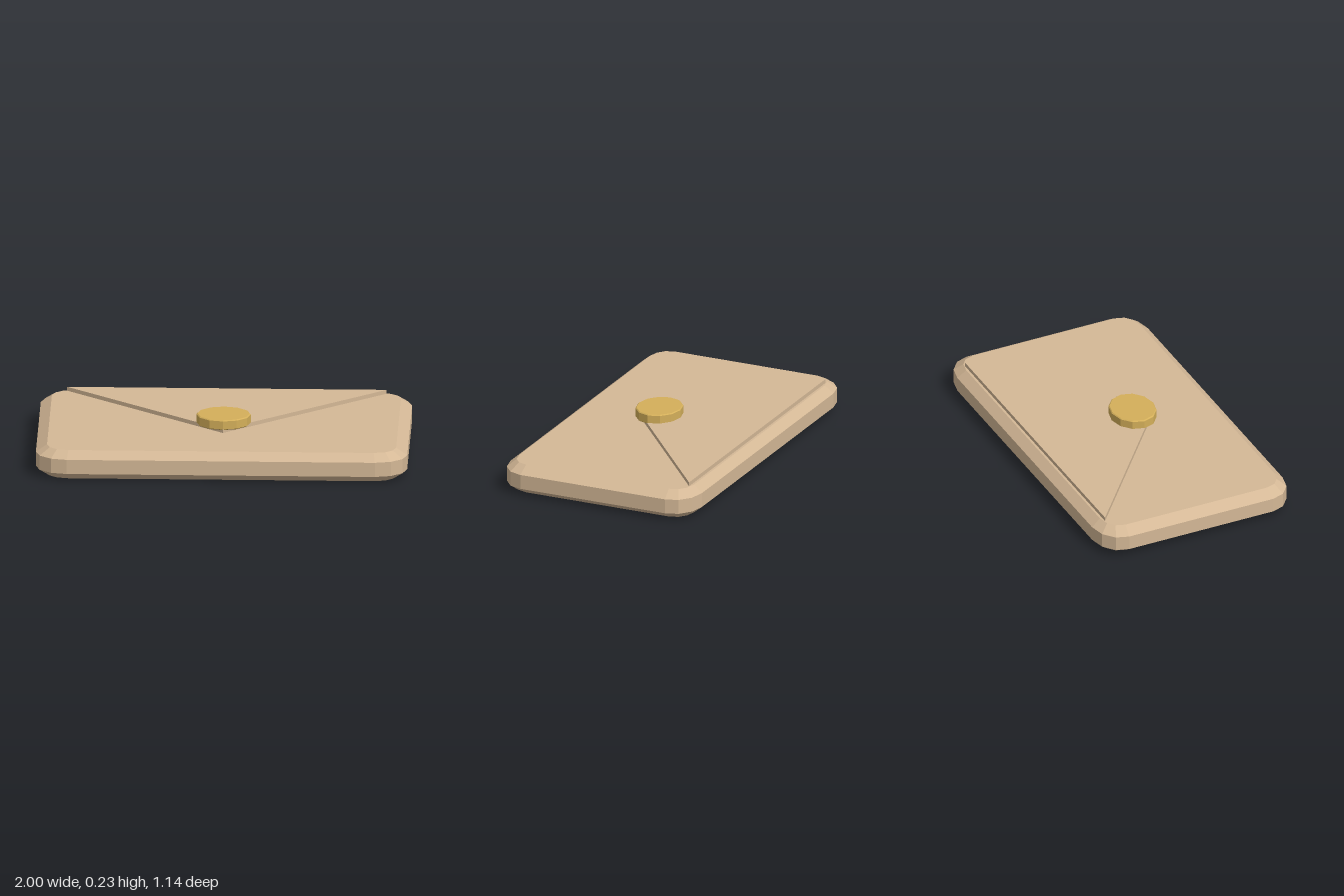
import * as THREE from 'three';

const tan = new THREE.MeshStandardMaterial({ color: 0xd4b896 });
tan.name = 'tan paper';
const gold = new THREE.MeshStandardMaterial({ color: 0xd4af5a });
gold.name = 'gold';

function part(name, geometry, material) {
  const mesh = new THREE.Mesh(geometry, material);
  mesh.name = name;
  return mesh;
}

// Rounded rectangle outline with three facets per corner
function roundedOutline(halfX, halfY, radius) {
  const points = [];
  const corners = [[1, 1], [-1, 1], [-1, -1], [1, -1]];
  corners.forEach(([sx, sy], c) => {
    for (let i = 0; i <= 3; i++) {
      const a = (c + i / 3) * Math.PI / 2;
      points.push(new THREE.Vector2(
        sx * (halfX - radius) + radius * Math.cos(a),
        sy * (halfY - radius) + radius * Math.sin(a)));
    }
  });
  return new THREE.Shape(points);
}

export function createModel() {
  const model = new THREE.Group();
  model.name = 'envelope';

  // Body: chamfered slab, squashed in depth so corners are slightly oval
  const squash = 0.82;
  const body = new THREE.ExtrudeGeometry(roundedOutline(1, 0.57 / squash, 0.17), {
    depth: 0.08, bevelEnabled: true, bevelSegments: 1,
    bevelThickness: 0.04, bevelSize: 0.06, bevelOffset: -0.06,
  });
  body.rotateX(-Math.PI / 2).scale(1, 1, squash).translate(0, 0.04, 0);
  model.add(part('body', body, tan));

  // Triangular flap pointing towards the front
  const triangle = new THREE.Shape([
    new THREE.Vector2(-0.86, 0.508),
    new THREE.Vector2(0, -0.2),
    new THREE.Vector2(0.86, 0.508),
  ]);
  const flap = new THREE.ExtrudeGeometry(triangle, { depth: 0.022, bevelEnabled: false });
  flap.rotateX(-Math.PI / 2).translate(0, 0.16, 0);
  model.add(part('flap', flap, tan));

  // Seal: faceted oval disc with a fine chamfer
  const profile = [[0, 0.175], [0.141, 0.175], [0.147, 0.18], [0.147, 0.225], [0.141, 0.23], [0, 0.23]]
    .map(([r, y]) => new THREE.Vector2(r, y));
  const seal = new THREE.LatheGeometry(profile, 12).toNonIndexed();
  seal.scale(1, 1, 0.85).translate(0, 0, 0.075);
  seal.computeVertexNormals();
  model.add(part('seal', seal, gold));

  return model;
}
